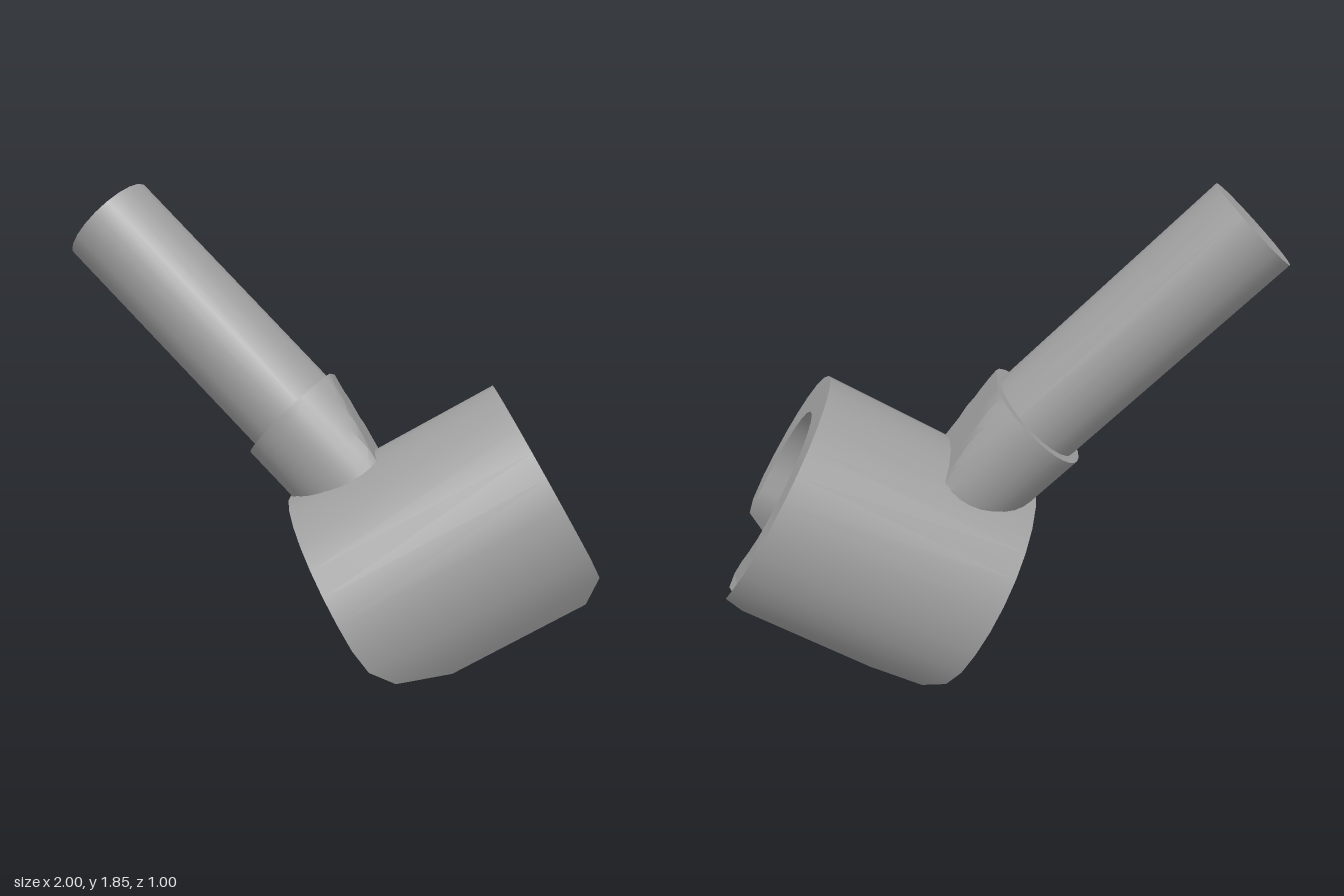
import * as THREE from 'three';
import { toCreasedNormals } from 'three/addons/utils/BufferGeometryUtils.js';

const grey = new THREE.MeshStandardMaterial({ color: 0xa0a0a0 });
grey.name = 'grey plastic';

function part(name, geometry) {
  const mesh = new THREE.Mesh(geometry, grey);
  mesh.name = name;
  return mesh;
}

// Move every vertex of a geometry by a rule
function reshape(geometry, rule) {
  const pos = geometry.attributes.position;
  const v = new THREE.Vector3();
  for (let i = 0; i < pos.count; i++) {
    rule(v.fromBufferAttribute(pos, i));
    pos.setXYZ(i, v.x, v.y, v.z);
  }
  return toCreasedNormals(geometry, 0.5);
}

// C-shaped clip: open ring with flared lips, its arm tips rounded off at both ends
function clip() {
  const outer = 0.465, inner = 0.315, length = 0.874, tip = -0.37;
  const points = [];
  const arc = (r, from, to, n) => {
    for (let i = 0; i <= n; i++) {
      const a = from + (to - from) * i / n;
      points.push(new THREE.Vector2(r * Math.sin(a), r * Math.cos(a)));
    }
  };
  const end = Math.atan2(0.28, tip);
  const lip = [[0.262, -0.19], [0.255, -0.25], [0.264, -0.31]];
  arc(outer, -end, end, 22);
  lip.slice().reverse().forEach(([x, y]) => points.push(new THREE.Vector2(x, y)));
  arc(inner, 1.95, -1.95, 16);
  lip.forEach(([x, y]) => points.push(new THREE.Vector2(-x, y)));

  // how far a rounded corner of the given radius cuts back at height y
  const cut = (y, rx, ry) => {
    const k = Math.min(1, Math.max(0, (tip + ry - y) / ry));
    return rx * (1 - Math.sqrt(1 - k * k));
  };
  const geometry = new THREE.ExtrudeGeometry(new THREE.Shape(points),
    { depth: 1, steps: 1, bevelEnabled: false });
  return reshape(geometry, (v) => {
    const back = -length + cut(v.y, 0.25, 0.22);
    const front = -cut(v.y, 0.09, 0.1);
    v.z = back + (front - back) * v.z;
  });
}

// Round collar with a sloping flat on one side and a slanted foot
function collar() {
  const rim = 0.782, axis = 0.594;
  return reshape(new THREE.CylinderGeometry(0.226, 0.226, 1, 32, 8), (v) => {
    const q = axis + v.x;
    const foot = 0.47 - 0.268 * (q - 0.365);
    v.y = foot + (rim - foot) * (v.y + 0.5);
    v.x = Math.min(q, 0.8 - 0.25 * (rim - v.y));
  });
}

export function createModel() {
  const model = new THREE.Group();
  model.name = 'barWithClip';
  const body = new THREE.Group();
  body.name = 'tiltedBody';
  body.rotation.x = -0.171;
  model.add(body);

  // Clip, its bore rising 30 degrees to the right
  const c = Math.cos(Math.PI / 6), s = 0.5;
  const clipMesh = part('clip', clip());
  clipMesh.quaternion.setFromRotationMatrix(new THREE.Matrix4().makeBasis(
    new THREE.Vector3(0, 0, -1), new THREE.Vector3(-s, c, 0), new THREE.Vector3(c, s, 0)));
  clipMesh.position.set(0.8525, 0.684, 0.08);
  body.add(clipMesh);

  // Bar and collar, leaning 45 degrees to the left
  const handle = new THREE.Group();
  handle.name = 'handle';
  handle.rotation.z = Math.PI / 4;
  handle.position.z = 0.08;
  handle.add(part('collar', collar()));
  const bar = part('bar', new THREE.CylinderGeometry(0.19, 0.19, 1.067, 20));
  bar.position.set(0.59, 1.2835, 0);
  handle.add(bar);
  body.add(handle);
  return model;
}
